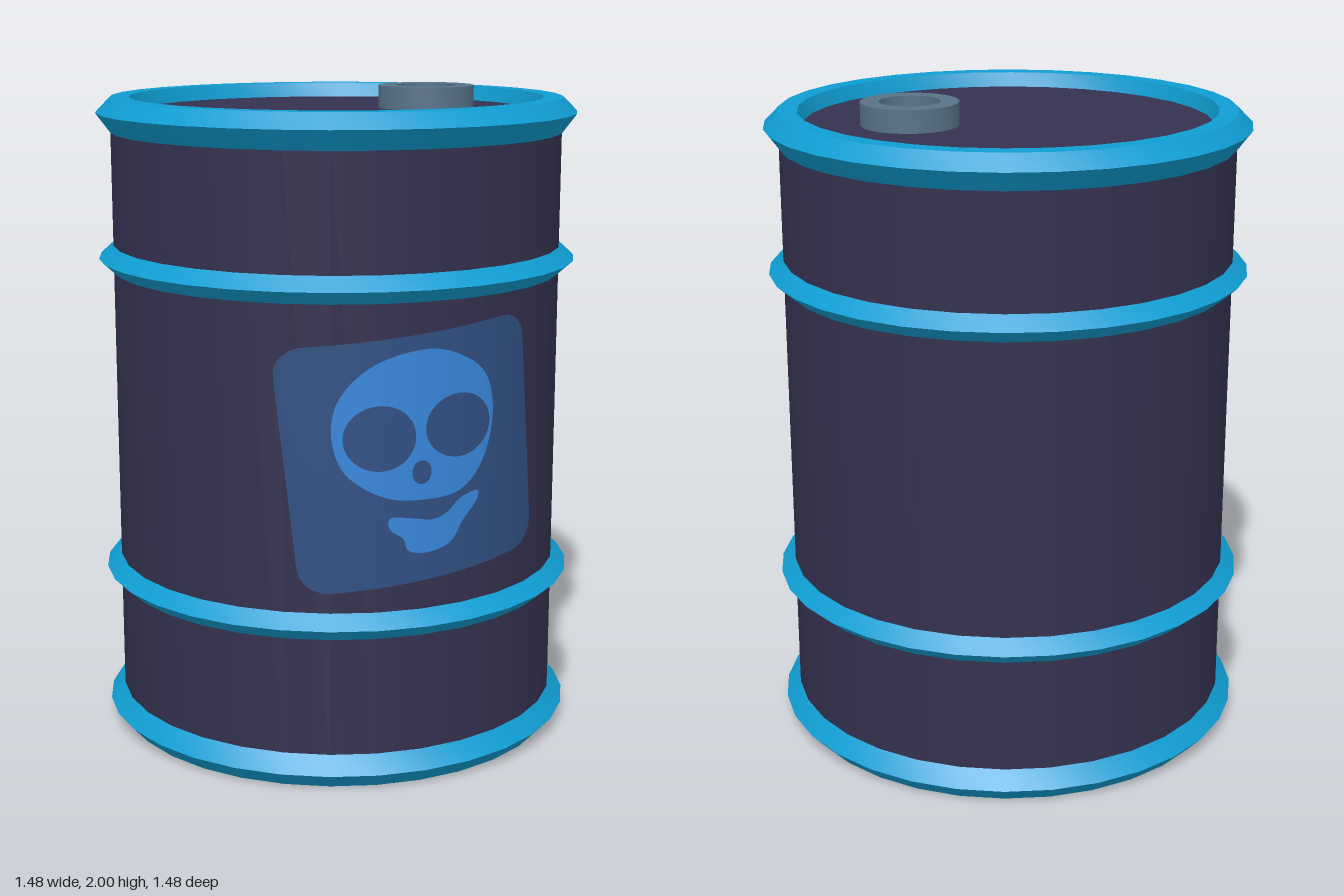
import * as THREE from 'three';
import { toCreasedNormals } from 'three/addons/utils/BufferGeometryUtils.js';

const SIDES = 32;
const RADIUS = 0.695;

const material = (name, color) => {
  const m = new THREE.MeshStandardMaterial({ color });
  m.name = name;
  return m;
};
const v2 = ([x, y]) => new THREE.Vector2(x, y);

export function createModel() {
  const model = new THREE.Group();
  model.name = 'barrel';
  const bodyPaint = material('dark indigo', 0x34314f);
  const ringPaint = material('bright blue', 0x0f9dd2);
  const capMetal = material('slate grey', 0x587288);
  const panelPaint = material('label navy', 0x305083);
  const skullPaint = material('label blue', 0x3888dc);

  const add = (name, geometry, mat) => {
    const mesh = new THREE.Mesh(geometry, mat);
    mesh.name = name;
    model.add(mesh);
    return mesh;
  };
  // Turned part; the profile runs upward along the outside
  const lathe = (name, profile, mat, sides = SIDES) =>
    add(name, toCreasedNormals(new THREE.LatheGeometry(profile.map(v2), sides), 0.5), mat);

  // Drum with recessed bottom and lid
  lathe('drum', [[0, 0.05], [0.63, 0.05], [RADIUS, 0.05], [RADIUS, 1.93], [0.63, 1.93], [0, 1.93]], bodyPaint);

  // Rims at both ends, each with a bevelled inner lip
  lathe('topRim', [[RADIUS, 1.87], [0.74, 1.93], [RADIUS, 1.975], [0.637, 1.975], [0.62, 1.925]], ringPaint);
  lathe('bottomRim', [[0.62, 0.055], [0.637, 0], [RADIUS, 0], [0.74, 0.05], [RADIUS, 0.1]], ringPaint);

  // Raised hoops
  for (const [name, y] of [['upperHoop', 1.485], ['lowerHoop', 0.498]]) {
    lathe(name, [[RADIUS - 0.005, y - 0.045], [0.74, y], [RADIUS - 0.005, y + 0.045]], ringPaint);
  }

  // Open filler collar on the lid
  const collar = lathe('fillerCollar',
    [[0.15, 1.925], [0.15, 2], [0.093, 2], [0.093, 1.925]], capMetal, 24);
  collar.position.x = 0.3;

  // Thin painted patch: rings shrink from the outline to a centre, wrapped on the drum
  const patch = (name, outline, [cx, cy], lift, mat, rings = 10) => {
    const n = outline.length;
    const positions = [];
    const index = [];
    const r = RADIUS + lift;
    for (let k = 0; k <= rings; k++) {
      for (const p of outline) {
        const x = cx + (p.x - cx) * k / rings;
        const y = cy + (p.y - cy) * k / rings;
        positions.push(x, y, Math.sqrt(r * r - x * x));
      }
    }
    for (let k = 0; k < rings; k++) {
      for (let i = 0; i < n; i++) {
        const j = (i + 1) % n;
        const a = k * n + i, b = k * n + j, c = a + n, d = b + n;
        index.push(a, c, d);
        if (k > 0) index.push(a, d, b);
      }
    }
    const geometry = new THREE.BufferGeometry();
    geometry.setAttribute('position', new THREE.Float32BufferAttribute(positions, 3));
    // Normals follow the drum
    const normals = [];
    for (let i = 0; i < positions.length; i += 3) normals.push(positions[i] / r, 0, positions[i + 2] / r);
    geometry.setAttribute('normal', new THREE.Float32BufferAttribute(normals, 3));
    geometry.setIndex(index);
    add(name, geometry, mat);
  };
  // Outlines run counter-clockwise
  const smoothLoop = (points, count, tension = 0.5) => new THREE.CatmullRomCurve3(
    points.map(([x, y]) => new THREE.Vector3(x, y, 0)), true, 'catmullrom', tension)
    .getSpacedPoints(count).slice(0, -1);
  const ellipse = (cx, cy, rx, ry, tilt = 0) =>
    new THREE.EllipseCurve(cx, cy, rx, ry, 0, Math.PI * 2, false, tilt).getPoints(36).slice(0, -1);

  // Tilted label with rounded corners
  const w = 0.383, h = 0.363, c = 0.08;
  const square = new THREE.Shape();
  square.moveTo(-w + c, -h);
  square.lineTo(w - c, -h);
  square.absarc(w - c, -h + c, c, -Math.PI / 2, 0);
  square.absarc(w - c, h - c, c, 0, Math.PI / 2);
  square.absarc(-w + c, h - c, c, Math.PI / 2, Math.PI);
  square.absarc(-w + c, -h + c, c, Math.PI, Math.PI * 1.5);
  const centre = new THREE.Vector2(0, 0.99);
  const panel = square.getSpacedPoints(120).slice(0, -1)
    .map((p) => p.rotateAround(new THREE.Vector2(), 0.097).add(centre));
  patch('labelPanel', panel, [0, 0.99], 0.002, panelPaint, 14);

  // Skull emblem
  patch('skull', smoothLoop([
    [0, 1.31], [-0.14, 1.275], [-0.235, 1.19], [-0.265, 1.08], [-0.23, 0.96], [-0.12, 0.885],
    [0, 0.87], [0.12, 0.885], [0.2, 0.965], [0.235, 1.1], [0.205, 1.22], [0.11, 1.288],
  ], 72), [0, 1.08], 0.004, skullPaint);
  patch('rightEye', ellipse(-0.13, 1.058, 0.105, 0.096), [-0.13, 1.058], 0.006, panelPaint, 5);
  patch('leftEye', ellipse(0.113, 1.08, 0.108, 0.094), [0.113, 1.08], 0.006, panelPaint, 5);
  patch('nose', ellipse(-0.006, 0.952, 0.03, 0.035), [-0.006, 0.952], 0.006, panelPaint, 3);
  patch('jaw', smoothLoop([
    [0.18, 0.875], [0.12, 0.86], [0.08, 0.825], [0.03, 0.808], [-0.04, 0.818], [-0.1, 0.822],
    [-0.1, 0.787], [-0.06, 0.757], [-0.045, 0.72], [0.015, 0.71], [0.09, 0.732], [0.13, 0.79], [0.18, 0.845],
  ], 60), [0.035, 0.765], 0.004, skullPaint, 6);

  return model;
}
